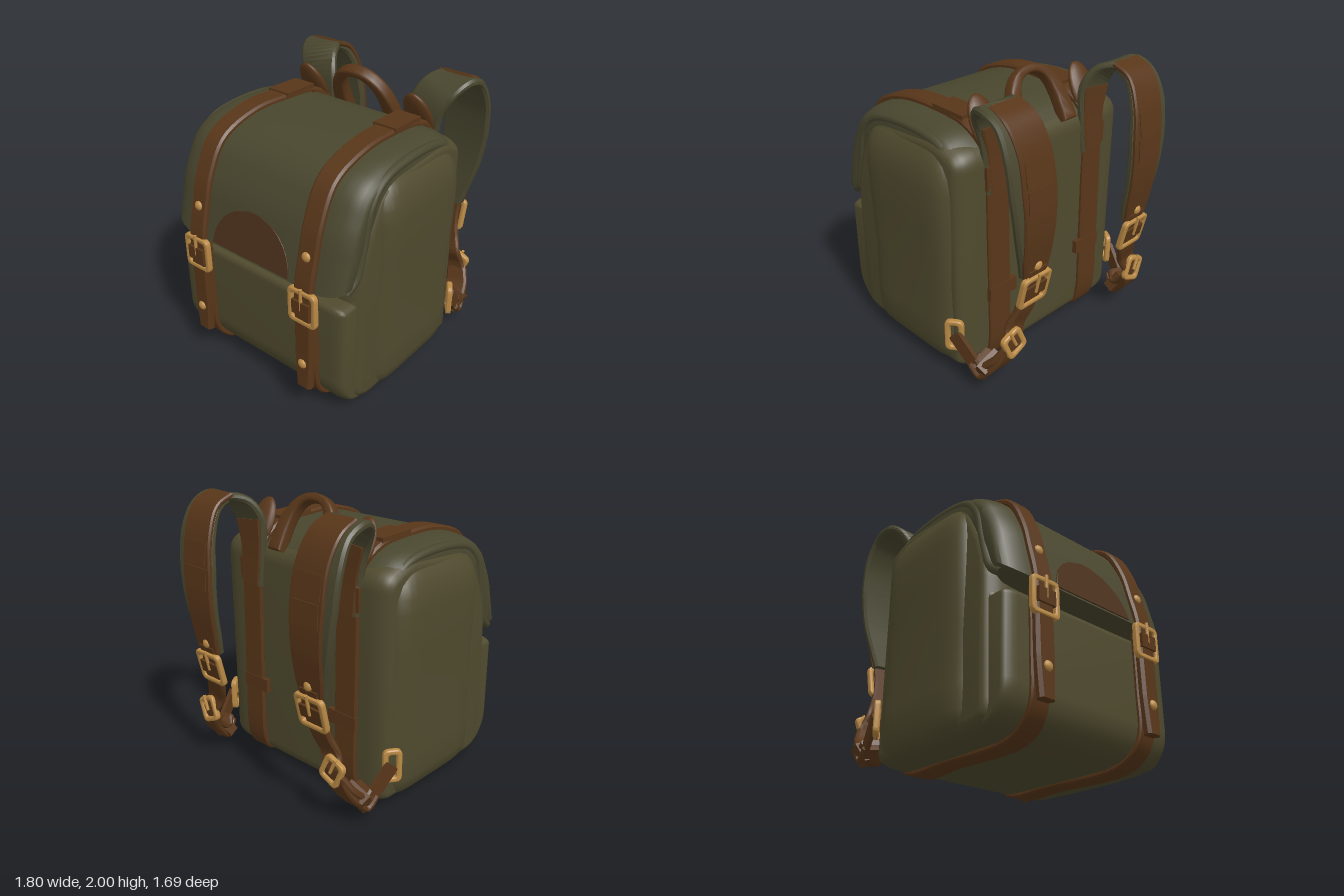
import * as THREE from 'three';
import { toCreasedNormals } from 'three/addons/utils/BufferGeometryUtils.js';

const paint = (name, color) => {
  const m = new THREE.MeshStandardMaterial({ color });
  m.name = name;
  return m;
};

// Closed outline from [x, y, cornerRadius] points; radius 0 keeps a sharp corner
function outline(pts) {
  const s = new THREE.Shape();
  pts.forEach(([x, y, r], i) => {
    const c = new THREE.Vector2(x, y);
    const toward = (q) => {
      const d = new THREE.Vector2(q[0] - x, q[1] - y);
      return d.setLength(Math.min(r, d.length() * 0.45)).add(c);
    };
    const a = toward(pts[(i + pts.length - 1) % pts.length]);
    const b = toward(pts[(i + 1) % pts.length]);
    if (i === 0) s.moveTo(a.x, a.y); else s.lineTo(a.x, a.y);
    if (r > 0) s.quadraticCurveTo(x, y, b.x, b.y);
  });
  s.closePath();
  return s;
}

// Outline extruded symmetrically in z with rounded edges
function slab(shape, half, bevel, inset) {
  const g = new THREE.ExtrudeGeometry(shape, {
    depth: 2 * (half - bevel), bevelThickness: bevel, bevelSize: inset,
    bevelOffset: -inset, bevelSegments: 5, curveSegments: 10,
  });
  g.translate(0, 0, bevel - half);
  return toCreasedNormals(g, 0.7);
}

// Skin over n + 1 rings of m points, closed at both ends
function skin(pos, m, n) {
  const idx = [];
  for (let i = 0; i < n; i++) for (let j = 0; j < m; j++) {
    const a = i * m + j, b = i * m + (j + 1) % m;
    idx.push(a, b, a + m, b, b + m, a + m);
  }
  for (let j = 1; j < m - 1; j++) idx.push(0, j + 1, j, n * m, n * m + j, n * m + j + 1);
  const g = new THREE.BufferGeometry();
  g.setAttribute('position', new THREE.Float32BufferAttribute(pos, 3));
  g.setIndex(idx);
  return toCreasedNormals(g, 0.74);
}

// Flat band swept along [x, y, z, width] points; lift moves it along its normal
function band(pts, thick, lift = 0, n = 48) {
  const curve = new THREE.CatmullRomCurve3(pts.map((p) => new THREE.Vector3(p[0], p[1], p[2])));
  const h = thick / 2, e = thick * 0.3, pos = [], zAxis = new THREE.Vector3(0, 0, 1);
  for (let i = 0; i <= n; i++) {
    const t = i / n, f = t * (pts.length - 1), k = Math.min(Math.floor(f), pts.length - 2);
    const w = THREE.MathUtils.lerp(pts[k][3], pts[k + 1][3], f - k) / 2;
    const T = curve.getTangent(t), N = zAxis.clone().cross(T).normalize(), W = T.clone().cross(N);
    const c = curve.getPoint(t).addScaledVector(N, lift);
    [[h, e - w], [h, w - e], [h - e, w], [e - h, w], [-h, w - e], [-h, e - w], [e - h, -w], [h - e, -w]]
      .forEach(([a, b]) => pos.push(...c.clone().addScaledVector(N, a).addScaledVector(W, b).toArray()));
  }
  return skin(pos, 8, n);
}

// Upright soft box from [y, xMin, xMax, halfDepth] rows
function softBox(rows, m = 48) {
  const pos = [], soft = (v) => Math.sign(v) * Math.abs(v) ** 0.3;
  for (const [y, x0, x1, d] of rows) for (let j = 0; j < m; j++) {
    const a = ((j + 0.5) / m) * Math.PI * 2;
    pos.push((x0 + x1) / 2 + ((x1 - x0) / 2) * soft(Math.cos(a)), y, -d * soft(Math.sin(a)));
  }
  return skin(pos, m, rows.length - 1);
}

const tube = (pts, r) => new THREE.TubeGeometry(
  new THREE.CatmullRomCurve3(pts.map((p) => new THREE.Vector3(...p))), 64, r, 10);

export function createModel() {
  const bag = new THREE.Group();
  bag.name = 'backpack';
  const canvas = paint('olive canvas', 0x4f4a2e);
  const flapCanvas = paint('dark olive canvas', 0x49462e);
  const leather = paint('brown leather', 0x583619);
  const darkLeather = paint('dark leather', 0x4b301a);
  const brass = paint('brass', 0xba8a45);

  const add = (name, geo, mat, parent = bag) => {
    const mesh = new THREE.Mesh(geo, mat);
    mesh.name = name;
    parent.add(mesh);
    return mesh;
  };

  // Main bag, side pockets, front pocket, flap
  add('mainBody', slab(outline([[0.45, 0.02, 0.1], [0.45, 1.6, 0.1], [0.22, 1.7, 0.1], [-0.45, 1.66, 0.2],
    [-0.68, 1.2, 0.2], [-0.7, 0.1, 0.1], [-0.58, 0.02, 0.1]]), 0.77, 0.16, 0.08), canvas);
  add('sidePockets', softBox([[0.03, -0.46, 0.34, 0.71], [0.05, -0.5, 0.38, 0.76], [0.1, -0.53, 0.415, 0.8],
    [0.18, -0.54, 0.43, 0.82], [0.35, -0.54, 0.43, 0.825], [0.7, -0.535, 0.425, 0.815], [1.1, -0.53, 0.425, 0.835],
    [1.35, -0.53, 0.42, 0.84], [1.45, -0.525, 0.405, 0.832], [1.53, -0.505, 0.38, 0.81], [1.59, -0.47, 0.34, 0.78],
    [1.63, -0.42, 0.29, 0.75], [1.645, -0.37, 0.22, 0.71]]), canvas);
  add('frontPocket', slab(outline([[-0.5, 0.04, 0], [-0.5, 0.99, 0], [-0.65, 0.99, 0.06], [-0.68, 0.88, 0],
    [-0.8, 0.88, 0.05], [-0.8, 0.2, 0.1], [-0.68, 0.04, 0.1]]), 0.74, 0.1, 0.04), canvas);
  add('flap', slab(outline([[0.44, 1.4, 0], [0.44, 1.59, 0.1], [0.25, 1.735, 0.15], [-0.3, 1.755, 0.2],
    [-0.6, 1.66, 0.2], [-0.755, 1.36, 0.1], [-0.845, 0.97, 0], [-0.67, 0.95, 0], [-0.58, 1.17, 0.05], [-0.4, 1.4, 0.05]]),
  0.755, 0.24, 0.085), flapCanvas);
  add('flapPatch', band(Array.from({ length: 9 }, (_, i) => {
    const t = i / 8;
    return [-0.842 + 0.072 * t, 0.985 + 0.312 * t, 0, 0.68 * Math.sqrt(1 - t * t * 0.98)];
  }), 0.009, 0.003), darkLeather);

  // Squared buckle frame in its own plane, with an optional prong
  const rect = (w, h, r) => outline([[w, -h, r], [w, h, r], [-w, h, r], [-w, -h, r]]);
  function buckle(name, x, y, z, w, h, tilt, roll, prong, yaw = Math.PI / 2) {
    const g = new THREE.Group();
    g.name = name;
    g.position.set(x, y, z);
    g.rotation.set(0, yaw, tilt, 'ZYX');
    const frame = rect(w / 2, h / 2, 0.045);
    frame.holes.push(rect(w / 2 - 0.036, h / 2 - 0.036, 0.02));
    add('buckleFrame', slab(frame, 0.02, 0.01, 0.01).rotateZ(roll), brass, g);
    if (prong) {
      const pin = new THREE.CylinderGeometry(0.012, 0.012, h * 0.6, 8).translate(0, h * 0.25, 0.02);
      add('bucklePin', pin.rotateZ(roll), brass, g);
    }
    bag.add(g);
  }
  const rivet = (x, y, z) => {
    const r = add('rivet', new THREE.SphereGeometry(0.035, 14, 10), brass);
    r.position.set(x, y, z);
    r.scale.x = 0.7;
  };
  const box = (name, size, at, tilt = 0) => {
    const b = add(name, new THREE.BoxGeometry(...size), leather);
    b.position.set(...at);
    b.rotation.z = tilt;
    return b;
  };

  for (const s of [1, -1]) {
    const side = (pts) => pts.map(([x, y, z, w]) => [x, y, z * s, w]);

    // Seams around the side pocket
    add('flapPiping', tube([[-0.74, 0.99, 0.715], [-0.66, 1.06, 0.73], [-0.59, 1.3, 0.735], [-0.53, 1.52, 0.735],
      [-0.39, 1.645, 0.73], [0.2, 1.65, 0.725], [0.35, 1.52, 0.72], [0.4, 1.2, 0.69]]
      .map(([x, y, z]) => [x, y, z * s]), 0.032), flapCanvas);
    add('pocketPiping', tube([[-0.6, 0.12, 0.71 * s], [-0.58, 0.5, 0.73 * s], [-0.57, 0.99, 0.71 * s]], 0.04), canvas);

    // Leather straps around the bag
    add('flapStrap', band(side([[-0.855, 0.72, 0.48, 0.14], [-0.848, 0.98, 0.48, 0.15], [-0.8, 1.2, 0.48, 0.15],
      [-0.74, 1.42, 0.48, 0.15], [-0.61, 1.64, 0.475, 0.15], [-0.32, 1.745, 0.47, 0.16], [0, 1.75, 0.46, 0.17],
      [0.24, 1.73, 0.46, 0.19], [0.41, 1.62, 0.455, 0.2], [0.45, 1.5, 0.455, 0.2]]), 0.05), leather);
    add('bodyStrap', band(side([[0.45, 1.6, 0.455, 0.19], [0.455, 1.2, 0.455, 0.19], [0.467, 0.6, 0.455, 0.19],
      [0.46, 0.12, 0.455, 0.19], [0.4, 0.028, 0.455, 0.18], [0, 0.02, 0.455, 0.16], [-0.58, 0.02, 0.46, 0.16],
      [-0.72, 0.08, 0.47, 0.16], [-0.8, 0.2, 0.48, 0.15], [-0.81, 0.5, 0.48, 0.15], [-0.81, 0.92, 0.48, 0.15]]), 0.035), leather);
    add('strapEnd', band(side([[-0.855, 0.2, 0.48, 0.12], [-0.85, 0.45, 0.48, 0.15], [-0.845, 0.95, 0.48, 0.15]]), 0.065), leather);
    box('frontKeeper', [0.04, 0.1, 0.14], [-0.875, 0.85, 0.48 * s]);
    box('topStrapPad', [0.28, 0.04, 0.18], [0.1, 1.765, 0.46 * s], -0.03);
    buckle('frontBuckle', -0.865, 0.85, 0.48 * s, 0.23, 0.26, 0, 0, true, -Math.PI / 2);
    rivet(-0.82, 1.2, 0.48 * s);
    rivet(-0.88, 0.4, 0.48 * s);

    // Anchors on the back
    const tab = add('anchorTab', new THREE.SphereGeometry(1, 18, 12), leather);
    tab.position.set(0.35, 1.73, 0.46 * s);
    tab.scale.set(0.045, 0.2, 0.11);
    tab.rotation.z = 0.48;
    box('upperAnchor', [0.035, 0.16, 0.2], [0.455, 1.43, 0.46 * s]);
    box('backKeeper', [0.035, 0.1, 0.24], [0.472, 0.575, 0.43 * s]);

    // Shoulder strap: canvas pad with a leather face
    const pad = side([[0.45, 1.32, 0.45, 0.2], [0.435, 1.6, 0.45, 0.24], [0.435, 1.78, 0.47, 0.28], [0.495, 1.9, 0.53, 0.29],
      [0.6, 1.945, 0.585, 0.29], [0.72, 1.89, 0.585, 0.3], [0.8, 1.74, 0.575, 0.34], [0.84, 1.5, 0.555, 0.36],
      [0.845, 1.25, 0.535, 0.32], [0.82, 1.03, 0.51, 0.25], [0.8, 0.9, 0.5, 0.2]]);
    add('shoulderPad', band(pad, 0.055), flapCanvas);
    const face = [[0.555, 0.25], [0.555, 0.26], [0.535, 0.27], [0.52, 0.285], [0.51, 0.265], [0.505, 0.24], [0.5, 0.2]];
    add('shoulderFace', band(pad.slice(4).map(([x, y], i) => [x, y, face[i][0] * s, face[i][1]]), 0.035, 0.028), leather);
    add('shoulderRoot', band(pad.slice(0, 3).map(([x, y, z, w]) => [x, y, z, w - 0.04]), 0.03, -0.022), leather);
    // Raised stitched panels
    for (const [x, y, z, tilt] of [[0.872, 1.62, 0.53, 0.17], [0.89, 1.45, 0.52, 0.06]])
      box('shoulderPanel', [0.012, 0.15, 0.22], [x, y, z * s], tilt);
    rivet(0.85, 0.97, 0.5 * s);

    // Adjusting webbing, buckles and lower ring
    add('lowerStrap', band(side([[0.84, 0.95, 0.5, 0.17], [0.805, 0.78, 0.5, 0.17], [0.77, 0.62, 0.53, 0.17],
      [0.74, 0.5, 0.58, 0.16], [0.76, 0.4, 0.62, 0.15], [0.74, 0.28, 0.66, 0.16], [0.68, 0.18, 0.69, 0.17],
      [0.6, 0.11, 0.71, 0.17], [0.52, 0.18, 0.74, 0.13]]), 0.045), leather);
    add('strapFold', band(side([[0.76, 0.36, 0.64, 0.15], [0.7, 0.26, 0.68, 0.17], [0.62, 0.2, 0.7, 0.18],
      [0.56, 0.23, 0.72, 0.14]]), 0.05), leather);
    box('foldKeeper', [0.08, 0.15, 0.17], [0.62, 0.17, 0.7 * s], -0.5).rotation.x = 0.35 * s;
    box('ringStrap', [0.23, 0.1, 0.03], [0.48, 0.265, 0.785 * s], -0.85).rotation.y = 0.25 * s;
    box('buckleKeeper', [0.04, 0.09, 0.18], [0.825, 0.785, 0.5 * s], -0.22);
    buckle('upperBuckle', 0.825, 0.785, 0.5 * s, 0.25, 0.25, -0.22, 0, true);
    buckle('lowerBuckle', 0.775, 0.4, 0.625 * s, 0.17, 0.19, 0.05, 0.4 * s, true);
    buckle('sideRing', 0.395, 0.34, 0.795 * s, 0.13, 0.24, 0, 0, false, 0.6 * s);
  }

  // Carrying handle
  const arch = new THREE.Shape();
  arch.moveTo(-0.28, 0);
  arch.bezierCurveTo(-0.28, 0.24, -0.2, 0.43, 0, 0.43);
  arch.bezierCurveTo(0.2, 0.43, 0.28, 0.24, 0.28, 0);
  arch.lineTo(0.16, 0);
  arch.bezierCurveTo(0.16, 0.24, 0.14, 0.37, 0, 0.37);
  arch.bezierCurveTo(-0.14, 0.37, -0.16, 0.24, -0.16, 0);
  const handle = add('handle', slab(arch, 0.045, 0.025, 0.018).rotateY(Math.PI / 2), leather);
  handle.position.set(0.43, 1.595, 0);
  handle.rotation.z = 0.45;

  return bag;
}
